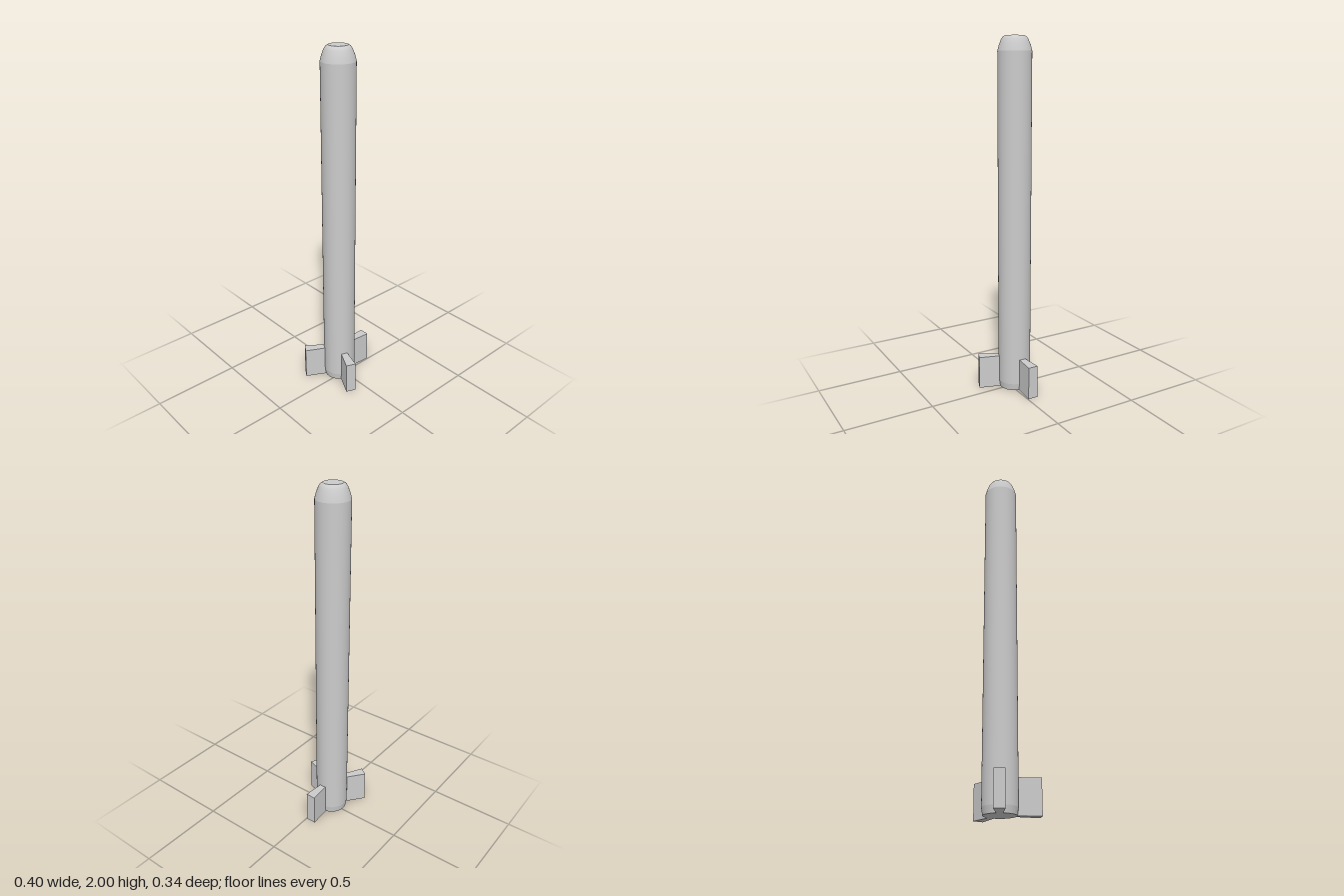
import * as THREE from 'three';

const material = new THREE.MeshStandardMaterial({ color: 0xcccccc });

// Lathed part with smooth sides; radii and heights from bottom to top
function lathe(name, points) {
  const geometry = new THREE.LatheGeometry(points.map(([r, y]) => new THREE.Vector2(r, y)), 64);
  const mesh = new THREE.Mesh(geometry, material);
  mesh.name = name;
  return mesh;
}

// Wedge fin, widening outwards along +x, standing on y = 0
function fin(angle) {
  const shape = new THREE.Shape([
    new THREE.Vector2(0.07, -0.017), new THREE.Vector2(0.21, -0.029),
    new THREE.Vector2(0.21, 0.029), new THREE.Vector2(0.07, 0.017),
  ]);
  const geometry = new THREE.ExtrudeGeometry(shape, { depth: 0.19, bevelEnabled: false });
  geometry.rotateX(-Math.PI / 2);
  const mesh = new THREE.Mesh(geometry, material);
  mesh.rotation.y = -THREE.MathUtils.degToRad(angle);
  mesh.name = 'fin';
  return mesh;
}

export function createModel() {
  const model = new THREE.Group();
  model.name = 'finnedRocket';

  // Long tube, tapered tail ring, rounded nose and flat ends
  const body = new THREE.Group();
  body.name = 'body';
  body.add(
    lathe('base', [[0, 0], [0.087, 0]]),
    lathe('tailTaper', [[0.087, 0], [0.093, 0.04]]),
    lathe('tube', [[0.093, 0.04], [0.093, 1.92]]),
    lathe('nose', [[0.093, 1.92], [0.085, 1.95], [0.073, 1.98], [0.064, 1.993], [0.052, 2]]),
    lathe('noseCap', [[0.052, 2], [0, 2]]),
  );
  model.add(body);

  // Three unevenly spaced fins
  for (const angle of [0, 112.4, 213.3]) model.add(fin(angle));

  // Offset of the axis that centres the overall footprint
  for (const part of model.children) part.position.set(-0.011, 0, -0.033);
  return model;
}
